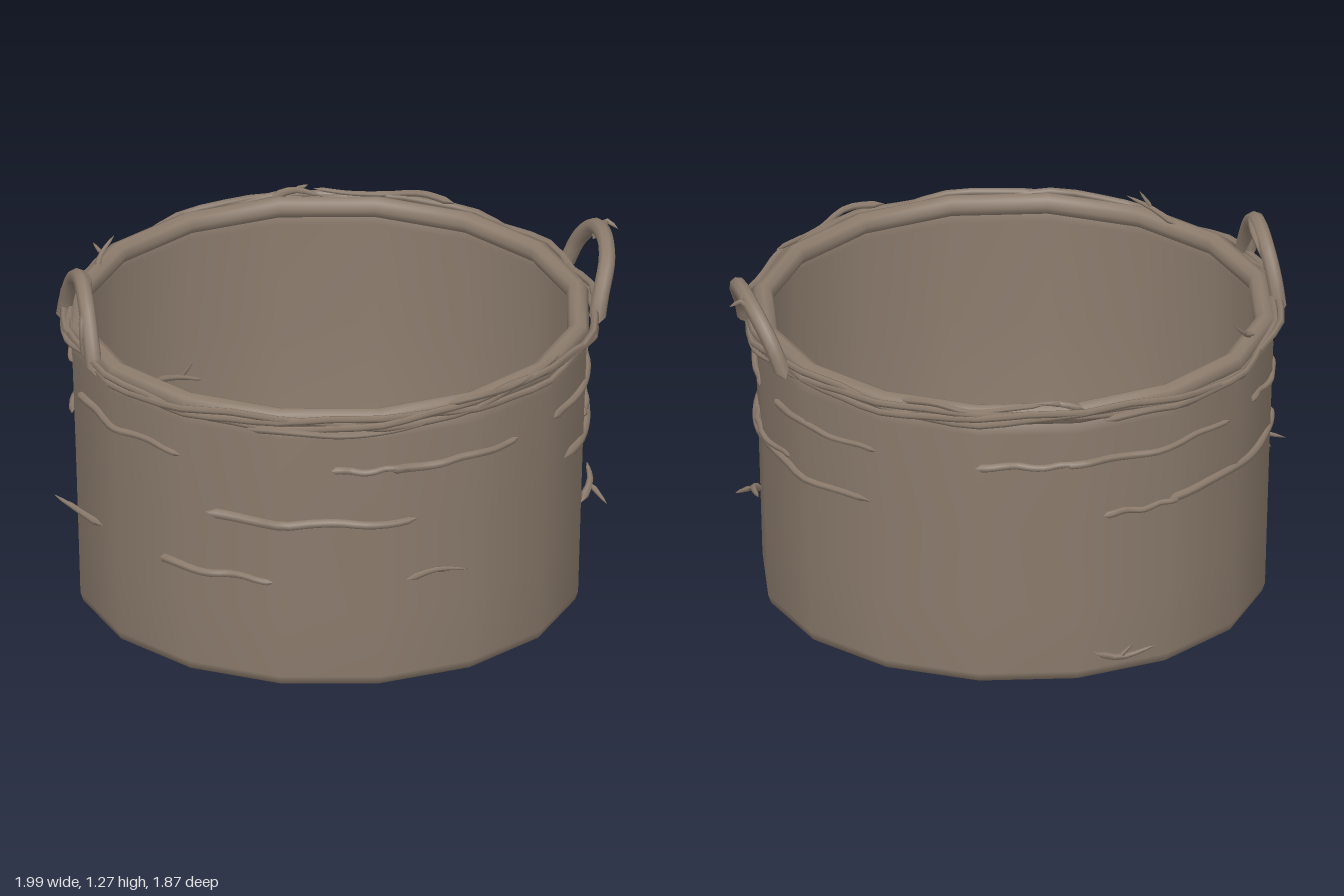
import * as THREE from 'three';

const CX = -0.03, CZ = 0.01, SIDES = 16;
const bark = new THREE.MeshStandardMaterial({ color: 0x8c7c6d });
bark.name = 'driftwood brown';
bark.side = THREE.DoubleSide;

const V = (x, y, z) => new THREE.Vector3(x, y, z);
const rad = THREE.MathUtils.degToRad;

// Point on the faceted wall; angle in degrees runs from +z towards +x
function wallPoint(deg, y, off = 0) {
  const step = 360 / SIDES;
  const within = ((deg % step) + step) % step - step / 2;
  const corner = 0.866 + 0.034 * Math.min(1, y);
  const r = corner * Math.cos(rad(step / 2)) / Math.cos(rad(within)) + off;
  return V(CX + r * Math.sin(rad(deg)), y, CZ + r * Math.cos(rad(deg)));
}

// Tube whose radius narrows towards the end and closes at both tips
function branch(name, points, r, { tip = 0.5, segs = 16, sides = 6 } = {}) {
  const curve = new THREE.CatmullRomCurve3(points);
  const geo = new THREE.TubeGeometry(curve, segs, r, sides);
  const pos = geo.attributes.position, p = V(0, 0, 0);
  for (let i = 0; i <= segs; i++) {
    const c = curve.getPointAt(i / segs);
    const k = i === 0 || i === segs ? 0.02 : 1 + (tip - 1) * i / segs;
    for (let j = 0; j <= sides; j++) {
      const n = i * (sides + 1) + j;
      p.fromBufferAttribute(pos, n).sub(c).multiplyScalar(k).add(c);
      pos.setXYZ(n, p.x, p.y, p.z);
    }
  }
  const mesh = new THREE.Mesh(geo, bark);
  mesh.name = name;
  return mesh;
}

// Forked sprig: a bent stem with one short side shoot
function sprig(name, a, b, c, fork, r = 0.014) {
  const g = new THREE.Group();
  g.name = name;
  g.add(branch('sprigStem', [a, b, c], r, { tip: 0.3, segs: 6, sides: 5 }));
  g.add(branch('sprigShoot', [b, b.clone().lerp(fork, 0.5), fork], r * 0.7, { tip: 0.3, segs: 4, sides: 5 }));
  return g;
}

export function createModel() {
  const model = new THREE.Group();
  model.name = 'basket';

  // Shell: outside, lip and inside in one profile
  const profile = [
    [0, 0.004], [0.5, 0.012], [0.835, 0.02], [0.858, 0.03], [0.868, 0.06], [0.875, 0.3],
    [0.884, 0.6], [0.897, 0.97], [0.89, 1.03], [0.86, 1.03],
    [0.865, 0.97], [0.855, 0.6], [0.84, 0.1], [0.8, 0.05], [0, 0.04],
  ].map(([x, y]) => new THREE.Vector2(x, y));
  const shell = new THREE.Mesh(new THREE.LatheGeometry(profile, SIDES), bark);
  shell.name = 'shell';
  shell.position.set(CX, 0, CZ);
  model.add(shell);

  // Rim hoop
  const hoop = new THREE.Mesh(new THREE.TorusGeometry(0.868, 0.038, 8, SIDES), bark);
  hoop.name = 'rimHoop';
  hoop.rotation.x = Math.PI / 2;
  hoop.position.set(CX, 1.036, CZ);
  model.add(hoop);

  // Thin vines wandering around the rim
  for (let v = 0; v < 3; v++) {
    const pts = [];
    for (let i = 0; i < 32; i++) {
      const t = i / 32 * Math.PI * 2;
      pts.push(wallPoint(i * 11.25, 1.035 + 0.025 * Math.sin(t * (3 + v) + v * 2),
        0.012 + 0.012 * Math.cos(t * (5 - v) + v)));
    }
    const curve = new THREE.CatmullRomCurve3(pts, true);
    const vine = new THREE.Mesh(new THREE.TubeGeometry(curve, 64, 0.013, 5, true), bark);
    vine.name = 'rimVine';
    model.add(vine);
  }

  // Woven twigs lying on the wall: start angle, end angle, height, radius
  const twigs = [
    [-86, -46, 0.845, 0.016], [-11, 8, 0.85, 0.014], [2, 36, 0.845, 0.017], [48, 90, 0.85, 0.015],
    [97, 134, 0.85, 0.014], [157, 182, 0.85, 0.015], [176, 222, 0.85, 0.015],
    [232, 258, 0.85, 0.012], [-40, 9, 0.645, 0.019], [55, 132, 0.65, 0.017], [75, 105, 0.675, 0.013],
    [201, 258, 0.65, 0.017], [186, 205, 0.64, 0.013], [-53, -24, 0.42, 0.017],
  ];
  twigs.forEach(([a, b, y, r], k) => {
    const pts = [];
    for (let i = 0; i <= 8; i++) {
      pts.push(wallPoint(a + (b - a) * i / 8, y + 0.005 * Math.sin(i * 1.3 + k), 0.004 + 0.005 * Math.sin(i * 2 + k)));
    }
    model.add(branch('wallTwig', pts, r, { tip: 0.7, segs: 20 }));
  });

  // Arched handles, one on each side
  model.add(branch('leftHandle', [
    V(0.86, 1.0, 0.22), V(0.88, 1.09, 0.19), V(0.92, 1.19, 0.11), V(0.935, 1.228, -0.01),
    V(0.925, 1.205, -0.14), V(0.89, 1.12, -0.23), V(0.85, 1.0, -0.27),
  ], 0.03, { tip: 0.95, segs: 24, sides: 8 }));
  model.add(branch('rightHandle', [
    V(-0.9, 1.0, 0.27), V(-0.905, 1.09, 0.235), V(-0.905, 1.2, 0.15), V(-0.9, 1.25, 0.04),
    V(-0.9, 1.21, -0.08), V(-0.91, 1.12, -0.15), V(-0.92, 1.0, -0.19),
  ], 0.03, { tip: 0.9, segs: 24, sides: 8 }));
  // Second strand twisted beside the right handle
  model.add(branch('rightHandleStrand', [
    V(-0.92, 1.03, 0.22), V(-0.925, 1.16, 0.19), V(-0.89, 1.24, 0.09),
    V(-0.87, 1.235, -0.03), V(-0.9, 1.14, -0.15),
  ], 0.018, { segs: 16 }));

  // Shoots on the handles
  model.add(sprig('leftHandleSprig', V(0.92, 1.16, -0.13), V(0.96, 1.235, -0.11), V(1.0, 1.21, -0.09), V(0.95, 1.24, -0.05), 0.018));

  // Sprigs growing out of the wall
  model.add(sprig('frontSprig', wallPoint(6, 0.41, -0.005), wallPoint(13, 0.445, 0.02), wallPoint(20, 0.435, 0.04), wallPoint(16, 0.425, 0.01)));
  model.add(sprig('leftSprig', wallPoint(74, 0.35, 0), wallPoint(79, 0.39, 0.03), wallPoint(87, 0.41, 0.02), wallPoint(75, 0.34, 0.09), 0.018));
  model.add(sprig('rightSprig', wallPoint(285, 0.41, 0), wallPoint(278, 0.42, 0.03), wallPoint(270, 0.44, 0.08), wallPoint(270, 0.41, 0.03), 0.016));
  model.add(sprig('backSprig', wallPoint(184, 0.12, 0), wallPoint(190, 0.09, 0.015), wallPoint(199, 0.11, 0.02), wallPoint(193, 0.14, 0.03), 0.016));

  // Sprigs and loose twigs on the rim
  model.add(sprig('rimSprig', V(-0.73, 1.06, 0.47), V(-0.66, 1.1, 0.55), V(-0.59, 1.12, 0.63), V(-0.62, 1.16, 0.57)));
  model.add(sprig('rimSprig', V(-0.75, 1.06, -0.44), V(-0.72, 1.09, -0.5), V(-0.67, 1.14, -0.53), V(-0.74, 1.11, -0.55)));
  model.add(sprig('rimSprig', V(-0.05, 1.06, -0.89), V(0.03, 1.085, -0.88), V(0.12, 1.075, -0.83), V(0.08, 1.095, -0.89), 0.018));
  const loose = [[-30, 12, 1.0], [15, 50, 1.07], [70, 110, 1.0], [140, 172, 1.075], [185, 228, 1.01], [250, 290, 1.03]];
  loose.forEach(([a, b, y]) => {
    const pts = [0, 1, 2, 3, 4].map(i => wallPoint(a + (b - a) * i / 4, y + 0.012 * Math.sin(i * 2), 0.015 + 0.012 * Math.sin(i * 1.5)));
    model.add(branch('looseRimTwig', pts, 0.014, { segs: 14, sides: 5 }));
  });

  return model;
}
